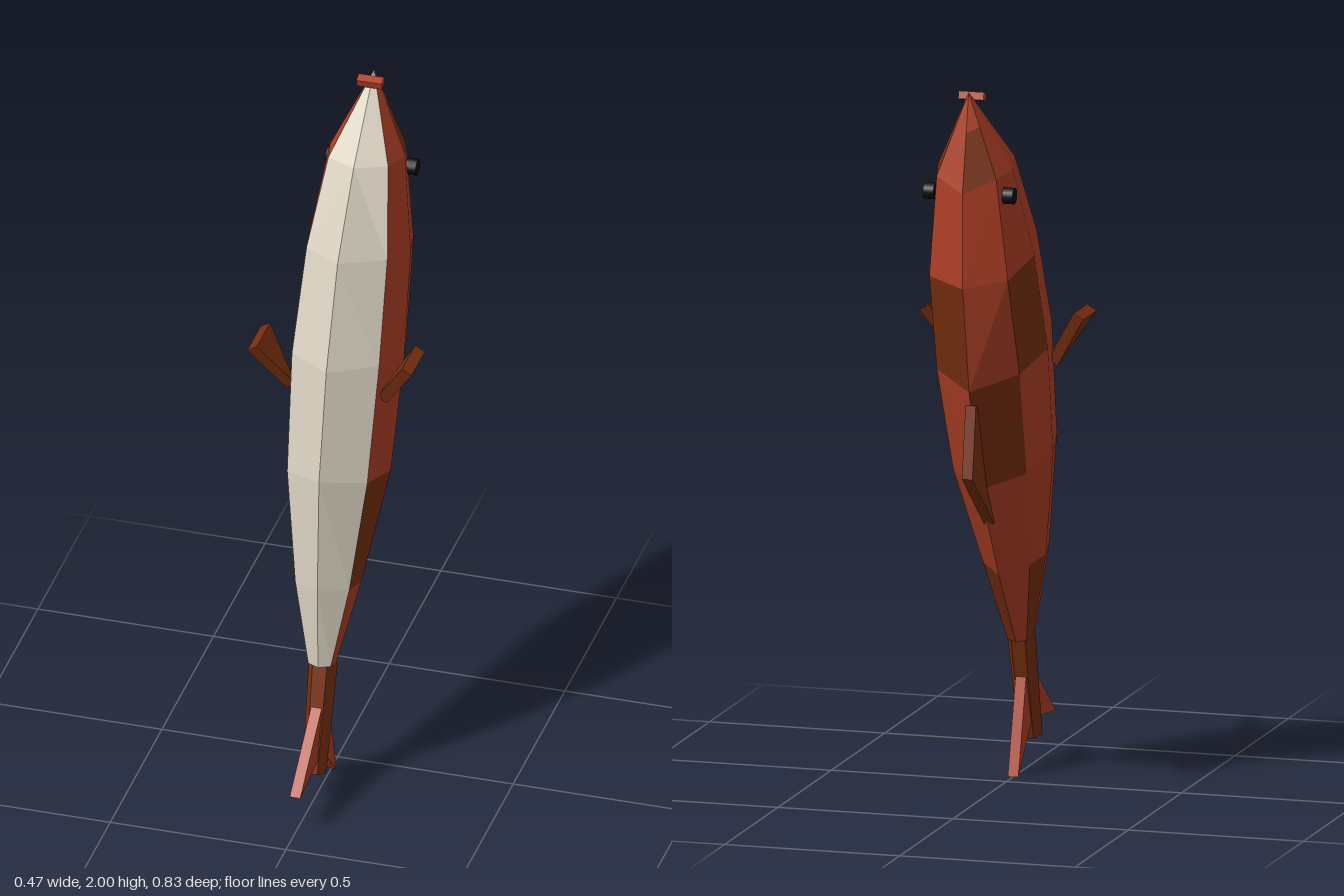
import * as THREE from 'three';

const mat = (name, color) => {
  const m = new THREE.MeshStandardMaterial({ color });
  m.name = name;
  return m;
};

// Half cross-sections from nose to tail, each running belly ridge -> back ridge as [x, y, z]
const NOSE = [0, 2, -0.354];
const SECTIONS = [
  [NOSE, NOSE, NOSE, NOSE, NOSE],
  [[0, 1.8, -0.155], [0.085, 1.795, -0.2], [0.107, 1.78, -0.29], [0.085, 1.765, -0.375], [0, 1.725, -0.413]],
  [[0, 1.585, 0], [0.115, 1.565, -0.09], [0.145, 1.525, -0.215], [0.112, 1.48, -0.355], [0, 1.46, -0.41]],
  [[0, 1.3, 0.11], [0.124, 1.29, 0.02], [0.155, 1.245, -0.12], [0.118, 1.2, -0.265], [0, 1.16, -0.35]],
  [[0, 0.99, 0.18], [0.114, 0.96, 0.1], [0.143, 0.93, -0.03], [0.105, 0.9, -0.155], [0, 0.865, -0.245]],
  [[0, 0.65, 0.196], [0.077, 0.64, 0.148], [0.09, 0.625, 0.075], [0.067, 0.61, 0], [0, 0.59, -0.07]],
  [[0, 0.4, 0.19], [0.032, 0.4, 0.175], [0.036, 0.388, 0.138], [0.027, 0.375, 0.1], [0, 0.37, 0.09]],
];

// Brown panels as 'side:section:strip' (strip 1 lower flank, 2 upper flank, 3 back)
const PATCHES = new Set([
  '1:4:1', '1:3:2', '1:0:2', '1:2:3', '1:5:3',
  '-1:0:3', '-1:2:2', '-1:3:3', '-1:5:2',
]);

const lerp = (a, b, t) => a.map((v, i) => v + (b[i] - v) * t);

// Flat-faceted mesh from a list of triangle corners
function facets(name, points, material) {
  const g = new THREE.BufferGeometry();
  g.setAttribute('position', new THREE.Float32BufferAttribute(points.flat(), 3));
  g.computeVertexNormals();
  const mesh = new THREE.Mesh(g, material);
  mesh.name = name;
  return mesh;
}

// Flat plate outlined in two axes (u, v) and centred on its thickness
function plate(name, outline, thickness, u, v, material) {
  const shape = new THREE.Shape(outline.map(([a, b]) => new THREE.Vector2(a, b)));
  const g = new THREE.ExtrudeGeometry(shape, { depth: thickness, bevelEnabled: false });
  g.translate(0, 0, -thickness / 2);
  g.applyMatrix4(new THREE.Matrix4().makeBasis(u, v, u.clone().cross(v)));
  const mesh = new THREE.Mesh(g, material);
  mesh.name = name;
  return mesh;
}

export function createModel() {
  const red = mat('scale red', 0xb04026);
  const brown = mat('patch brown', 0x793010);
  const cream = mat('belly cream', 0xd8d0bf);
  const black = mat('eye black', 0x0c0c0c);

  const model = new THREE.Group();
  model.name = 'fish';

  // Body: octagonal sections joined by panels, sorted by colour
  const skin = [], patches = [], belly = [];
  for (const side of [1, -1]) {
    const flip = (p) => [p[0] * side, p[1], p[2]];
    const tri = (list, a, b, c) => {
      const t = [a, b, c].map(flip);
      list.push(...(side > 0 ? t : t.reverse()));
    };
    const quad = (list, a, b, c, d) => {
      if (a !== d) tri(list, a, c, d);
      tri(list, a, b, c);
    };
    for (let i = 0; i < 6; i++) {
      for (let k = 0; k < 4; k++) {
        const a = SECTIONS[i][k], b = SECTIONS[i + 1][k];
        const c = SECTIONS[i + 1][k + 1], d = SECTIONS[i][k + 1];
        const spotted = PATCHES.has(`${side}:${i}:${k}`);
        if (spotted && i === 0) {
          // Head patches stop short of the nose
          const m = lerp(a, b, 0.4), n = lerp(d, c, 0.4);
          tri(skin, a, m, n);
          quad(patches, m, b, c, n);
        } else {
          quad(k === 0 ? belly : spotted ? patches : skin, a, b, c, d);
        }
      }
    }
    // Closed rear end
    const end = SECTIONS[6];
    for (let k = 1; k < 4; k++) tri(skin, end[0], end[k + 1], end[k]);
  }
  model.add(facets('body', skin, red));
  model.add(facets('bodyPatches', patches, brown));
  model.add(facets('belly', belly, cream));

  // Tail stalk: tapered hexagonal prism
  const top = new THREE.Vector3(0, 0.39, 0.138), bottom = new THREE.Vector3(0, 0.088, 0.226);
  const dir = top.clone().sub(bottom);
  const stalkShape = new THREE.CylinderGeometry(0.041, 0.034, dir.length(), 6, 1, false, Math.PI / 6).toNonIndexed();
  stalkShape.computeVertexNormals();
  const stalk = new THREE.Mesh(stalkShape, brown);
  stalk.name = 'tailStalk';
  stalk.position.copy(top).add(bottom).multiplyScalar(0.5);
  stalk.quaternion.setFromUnitVectors(new THREE.Vector3(0, 1, 0), dir.normalize());
  model.add(stalk);

  // Upright fins, outlined as [z, y]
  const Y = new THREE.Vector3(0, 1, 0), Z = new THREE.Vector3(0, 0, 1);
  model.add(plate('tailFinFront', [[0.17, 0.25], [0.205, 0.28], [0.413, 0.115], [0.22, 0.135]], 0.03, Z, Y, red));
  model.add(plate('tailFinBack', [[0.17, 0.25], [0.135, 0.265], [0.062, 0], [0.2, 0.145]], 0.03, Z, Y, red));
  model.add(plate('dorsalFin', [[-0.29, 1.1], [-0.335, 1.12], [-0.368, 0.92], [-0.165, 0.755], [-0.15, 0.8]], 0.03, Z, Y, brown));

  // Side fins and eyes
  const out = new THREE.Vector3(0.53, 0.848, 0).normalize();
  for (const side of [1, -1]) {
    const prefix = side > 0 ? 'left' : 'right';
    const fin = plate(`${prefix}SideFin`, [[0, 0.01], [0.172, -0.05], [0.172, 0.08]], 0.032, out, Z, brown);
    fin.position.set(0.129 * side, 1.177, 0);
    fin.scale.x = side;
    model.add(fin);

    const eye = new THREE.Mesh(new THREE.CylinderGeometry(0.023, 0.023, 0.03, 12), black);
    eye.name = `${prefix}Eye`;
    eye.rotation.z = Math.PI / 2;
    eye.position.set(0.113 * side, 1.715, -0.342);
    model.add(eye);
  }

  // Mouth
  const mouth = new THREE.Mesh(new THREE.BoxGeometry(0.072, 0.022, 0.026), red);
  mouth.name = 'mouth';
  mouth.position.set(0, 1.982, -0.319);
  mouth.rotation.x = 0.3;
  model.add(mouth);

  return model;
}
